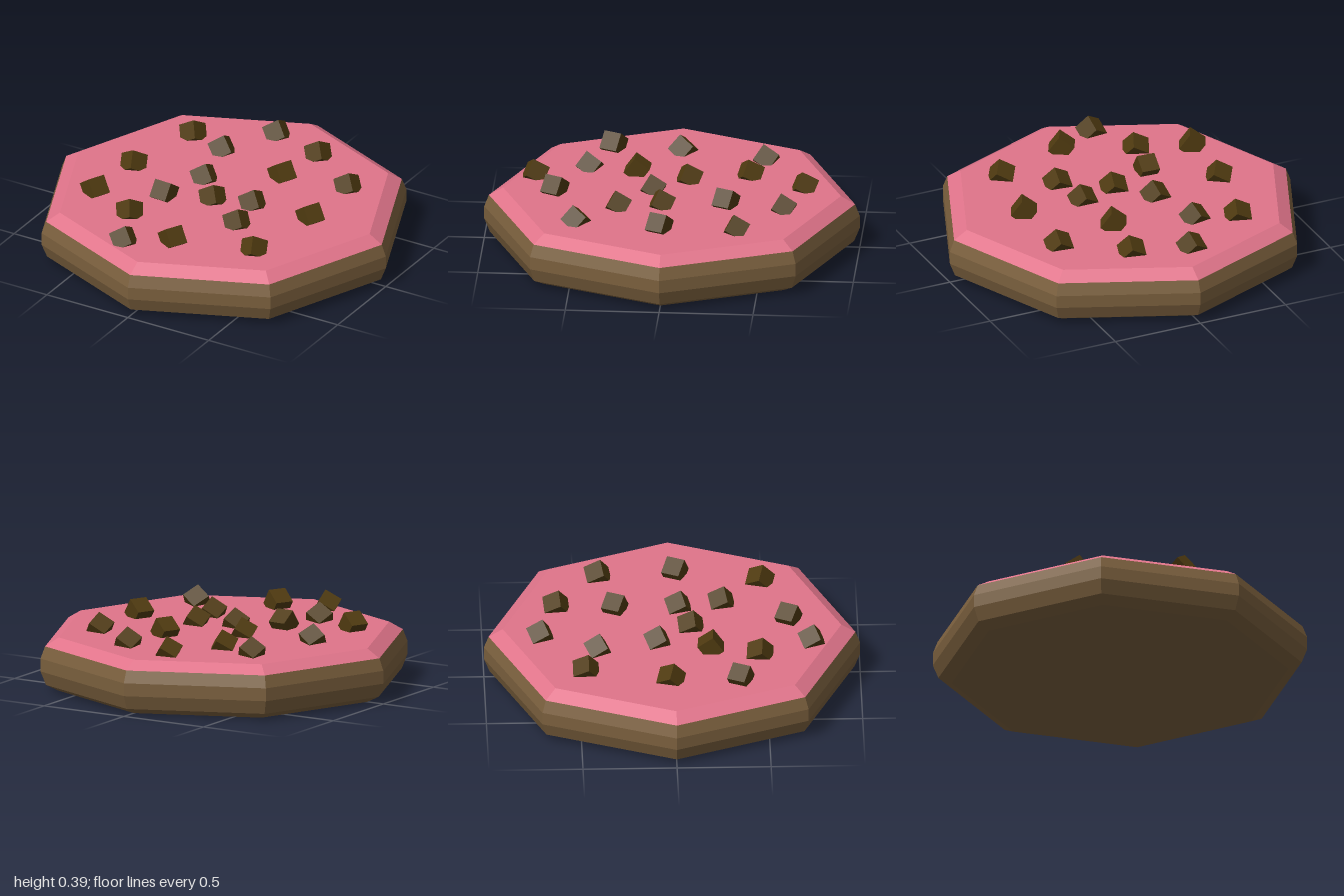
import * as THREE from 'three';

export function createModel() {
  const group = new THREE.Group();
  const mat = (name, color) => {
    const m = new THREE.MeshStandardMaterial({ color, flatShading: true });
    m.name = name;
    return m;
  };
  const dough = mat('brown dough', 0x7a5f3d);
  const pink = mat('pink icing', 0xe0748a);
  const chocolate = mat('dark chocolate', 0x4f3a10);

  // Eight-sided discs, turned from profiles of [radius, height]
  const turned = (name, profile, material) => {
    const points = profile.map(([r, y]) => new THREE.Vector2(r, y));
    const mesh = new THREE.Mesh(new THREE.LatheGeometry(points, 8), material);
    mesh.name = name;
    group.add(mesh);
  };
  turned('biscuit', [[0, 0], [0.9, 0], [0.97, 0.035], [1, 0.11], [1, 0.18], [0.975, 0.245]], dough);
  turned('icing', [[0.975, 0.245], [0.9, 0.29], [0, 0.29]], pink);

  // Chocolate chips, half sunk into the icing
  const cube = new THREE.BoxGeometry(0.1, 0.1, 0.1);
  const addChip = (x, y, z, pitch, yaw, roll) => {
    const chip = new THREE.Mesh(cube, chocolate);
    chip.name = 'chocolateChip';
    chip.position.set(x, y, z);
    chip.rotation.set(pitch, yaw, roll, 'YXZ');
    group.add(chip);
  };

  // Chips resting on an edge: x, z, yaw
  [
    [0.18, -0.3, -0.44], [0.55, 0.03, -0.44], [-0.59, 0.35, -0.44],
    [0.05, 0.62, -0.48], [-0.25, 0.2, -1.62],
  ].forEach(([x, z, yaw]) => addChip(x, 0.32, z, 0, yaw, 0.62));

  // Chips resting on a corner: x, z, yaw
  [
    [-0.09, -0.7, 0.1], [0.22, -0.61, -0.2], [-0.47, -0.47, -0.3], [-0.25, -0.4, 0.2],
    [0.54, -0.38, -0.1], [-0.17, -0.08, 0.1], [-0.57, -0.02, -0.6], [0.2, 0.04, 0],
    [-0.01, 0.1, -0.2], [0.24, 0.27, -0.1], [-0.31, 0.46, -0.4], [0.47, 0.48, -0.6],
    [-0.18, 0.74, 0.1],
  ].forEach(([x, z, yaw]) => addChip(x, 0.305, z, -0.5, yaw, 0.6));

  return group;
}
